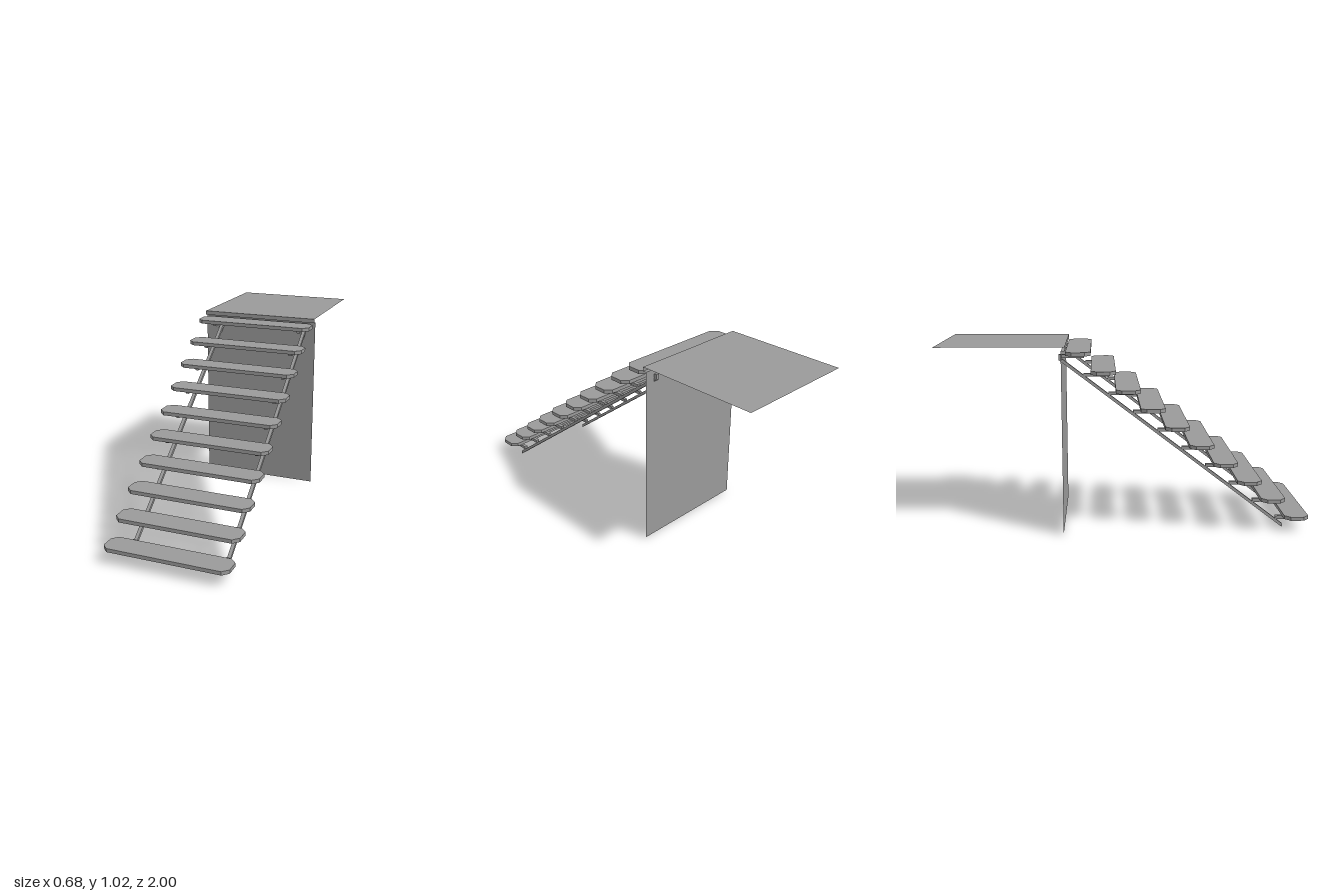
import * as THREE from 'three';

const RISE = 0.1007, RUN = 0.132, STEPS = 10;
const COLOR = 0x9a9a9a;
const material = new THREE.MeshStandardMaterial({ color: COLOR, flatShading: true });
const sheetMaterial = new THREE.MeshStandardMaterial({ color: COLOR, side: THREE.DoubleSide, flatShading: true });

function addMesh(parent, name, geometry, mat = material) {
  const mesh = new THREE.Mesh(geometry, mat);
  mesh.name = name;
  parent.add(mesh);
  return mesh;
}

// Plank with four chamfered corners, lying flat with its top at y = 0
function treadGeometry(width, depth, thickness, cut) {
  const w = width / 2, d = depth / 2;
  const shape = new THREE.Shape([
    [w - cut, -d], [w, -d + cut], [w, d - cut], [w - cut, d],
    [-w + cut, d], [-w, d - cut], [-w, -d + cut], [-w + cut, -d],
  ].map(([x, y]) => new THREE.Vector2(x, y)));
  return new THREE.ExtrudeGeometry(shape, { depth: thickness, bevelEnabled: false }).rotateX(Math.PI / 2);
}

// Sloping square bar with plumb-cut ends
function stringerGeometry(width) {
  const front = 0.87, back = -0.357, height = 0.02, rise = 0.942;
  const shape = new THREE.Shape([
    new THREE.Vector2(-front, 0), new THREE.Vector2(-back, rise),
    new THREE.Vector2(-back, rise + height), new THREE.Vector2(-front, height),
  ]);
  return new THREE.ExtrudeGeometry(shape, { depth: width, bevelEnabled: false })
    .translate(0, 0, -width / 2).rotateY(Math.PI / 2);
}

export function createModel() {
  const model = new THREE.Group();
  model.name = 'staircase';
  const barWidth = 0.019;
  const sides = [['left', 0.272], ['right', -0.241]];

  // Treads and their support brackets
  const tread = treadGeometry(0.676, 0.132, 0.02, 0.031);
  const bracket = new THREE.BoxGeometry(barWidth, 0.018, 0.134);
  for (let i = 0; i < STEPS; i++) {
    const step = new THREE.Group();
    step.name = `step${i + 1}`;
    step.position.set(0, 0.086 + i * RISE, 0.934 - i * RUN);
    addMesh(step, 'tread', tread);
    for (const [side, x] of sides) {
      addMesh(step, `${side}Bracket`, bracket).position.set(x, -0.029, -0.037);
    }
    model.add(step);
  }

  // Stringers
  const stringer = stringerGeometry(barWidth);
  for (const [side, x] of sides) addMesh(model, `${side}Stringer`, stringer).position.x = x;

  // Thin landing: floor, nosing and lip
  const width = 0.678, front = -0.322, wallZ = -0.342, top = 1.021, lipY = 0.998;
  addMesh(model, 'landingFloor', new THREE.PlaneGeometry(width, 1 + front).rotateX(-Math.PI / 2), sheetMaterial)
    .position.set(0, top, (front - 1) / 2);
  addMesh(model, 'landingNosing', new THREE.PlaneGeometry(width, top - lipY), sheetMaterial)
    .position.set(0, (top + lipY) / 2, front);
  addMesh(model, 'landingLip', new THREE.PlaneGeometry(width, front - wallZ).rotateX(Math.PI / 2), sheetMaterial)
    .position.set(0, lipY, (front + wallZ) / 2);

  // Wall below the landing
  const wallBottom = 0.004;
  addMesh(model, 'wall', new THREE.PlaneGeometry(width, lipY - wallBottom), sheetMaterial)
    .position.set(0, (lipY + wallBottom) / 2, wallZ);

  return model;
}
